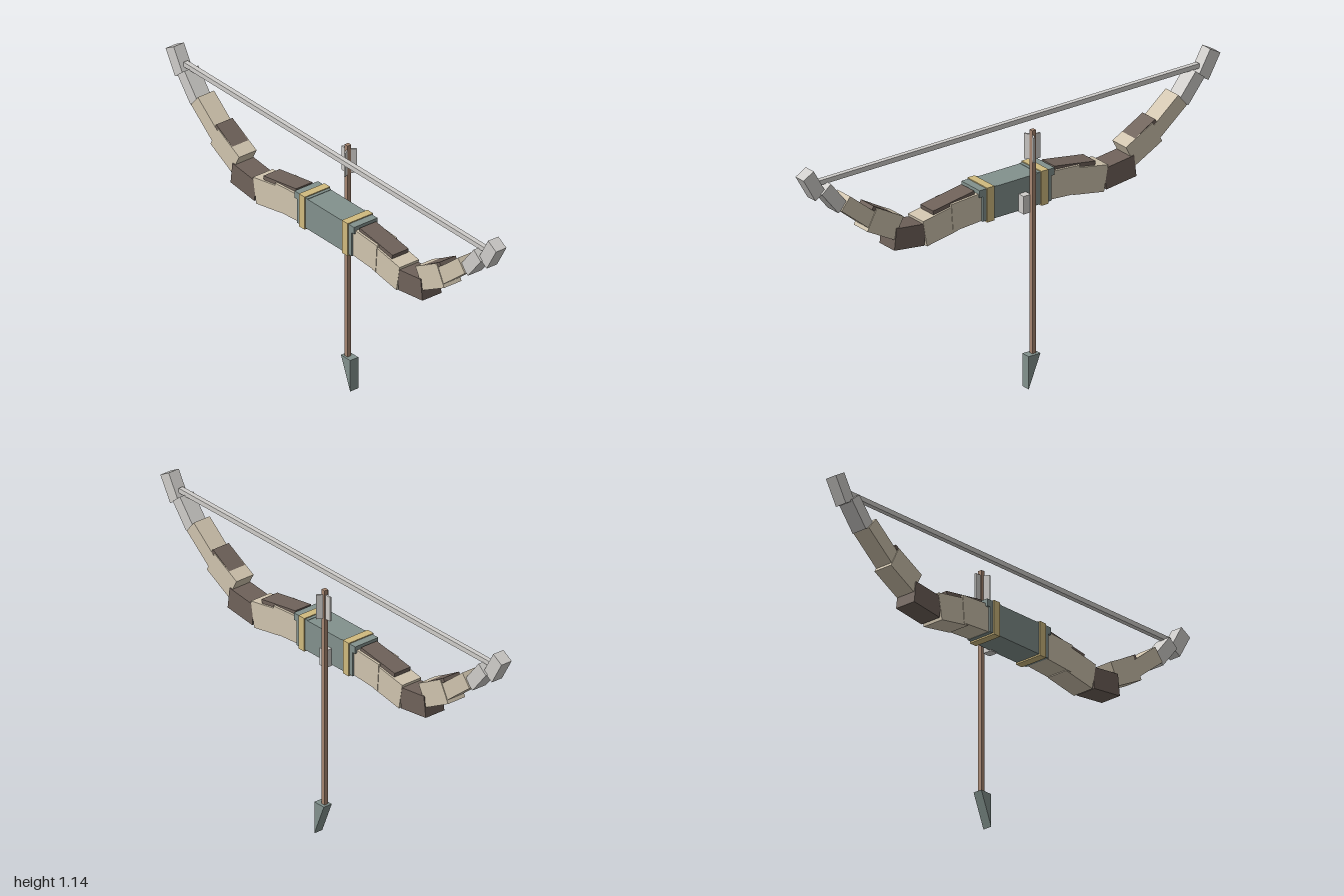
import * as THREE from 'three';

const mat = (name, color) => {
  const m = new THREE.MeshStandardMaterial({ color });
  m.name = name;
  return m;
};

export function createModel() {
  const cream = mat('bone', 0xd0c4ae);
  const brown = mat('darkWood', 0x6f625a);
  const teal = mat('slate', 0x82918d);
  const gold = mat('brass', 0xd0ba7e);
  const grey = mat('paleGrey', 0xcfcdca);
  const wood = mat('shaftWood', 0xa58570);

  const bowX = -0.033, arrowX = 0.063, arrowZ = -0.046;
  const root = new THREE.Group();
  root.name = 'bowAndArrow';

  const box = (parent, name, m, [w, h, d], [x, y, z]) => {
    const mesh = new THREE.Mesh(new THREE.BoxGeometry(w, h, d), m);
    mesh.name = name;
    mesh.position.set(x, y, z);
    parent.add(mesh);
    return mesh;
  };

  // Bow: grip and string
  const bow = new THREE.Group();
  bow.name = 'bow';
  root.add(bow);
  box(bow, 'grip', teal, [0.116, 0.132, 0.33], [bowX, 0.793, 0]);
  box(bow, 'string', grey, [0.02, 0.02, 1.82], [bowX, 1.073, 0]);
  box(bow, 'arrowRest', grey, [0.04, 0.075, 0.035], [0.036, 0.76, -0.025]);

  // Limb pieces: name, material, z, y, rise in degrees, length, height, width
  const pieces = [
    ['innerLimb', cream, 0.23, 0.782, -4, 0.15, 0.116, 0.1],
    ['middleLimb', cream, 0.36, 0.758, -10, 0.15, 0.11, 0.096],
    ['limbBend', brown, 0.503, 0.75, 7, 0.145, 0.09, 0.094],
    ['limbRise', cream, 0.62, 0.835, 28, 0.145, 0.098, 0.086],
    ['outerLimb', cream, 0.735, 0.91, 39, 0.187, 0.066, 0.08],
    ['limbNeck', grey, 0.857, 1.002, 51, 0.125, 0.055, 0.068],
    ['limbTip', grey, 0.947, 1.075, 60, 0.114, 0.056, 0.051],
    ['innerPlate', brown, 0.29, 0.833, -9, 0.2, 0.018, 0.08],
    ['outerPlate', brown, 0.625, 0.886, 30, 0.125, 0.016, 0.08],
  ];
  for (const s of [1, -1]) {
    const limb = new THREE.Group();
    limb.name = s > 0 ? 'frontLimb' : 'backLimb';
    bow.add(limb);
    for (const [name, m, z, y, deg, len, h, w] of pieces) {
      const p = box(limb, name, m, [w, h, len], [bowX, y, s * z]);
      p.rotation.x = -s * THREE.MathUtils.degToRad(deg);
    }
    box(limb, 'gripBand', gold, [0.126, 0.144, 0.034], [bowX, 0.793, s * 0.13]);
    box(limb, 'gripCollar', teal, [0.116, 0.03, 0.08], [bowX, 0.846, s * 0.14]);
  }

  // Arrow: shaft, three fins and wedge head
  const arrow = new THREE.Group();
  arrow.name = 'arrow';
  root.add(arrow);
  box(arrow, 'shaft', wood, [0.018, 0.95, 0.018], [arrowX, 0.595, arrowZ]);
  for (let i = 0; i < 3; i++) {
    const a = Math.PI + (i * Math.PI * 2) / 3;
    const fin = box(arrow, 'fletching', grey, [0.007, 0.105, 0.034],
      [arrowX + Math.sin(a) * 0.017, 0.9975, arrowZ + Math.cos(a) * 0.017]);
    fin.rotation.y = a;
  }

  // Wedge profile is drawn in (-z, y) and extruded across x
  const profile = new THREE.Shape([
    new THREE.Vector2(0.01, 0),
    new THREE.Vector2(0.066, 0.137),
    new THREE.Vector2(0.01, 0.137),
  ]);
  const headGeo = new THREE.ExtrudeGeometry(profile, { depth: 0.04, bevelEnabled: false });
  headGeo.rotateY(Math.PI / 2);
  const head = new THREE.Mesh(headGeo, teal);
  head.name = 'arrowHead';
  head.position.x = arrowX + 0.002 - 0.02;
  arrow.add(head);

  return root;
}
